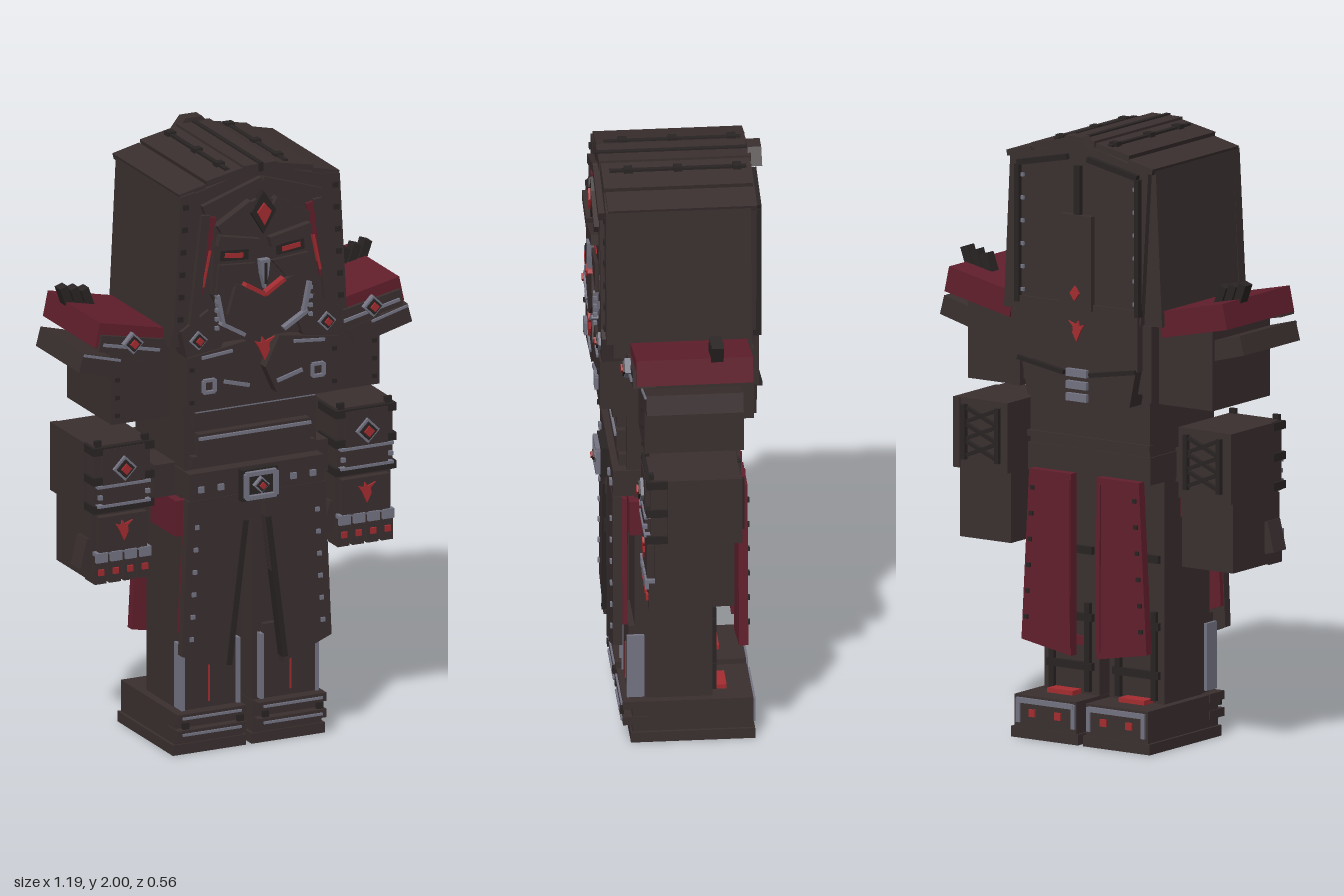
import * as THREE from 'three';

const paint = (name, hex) => {
  const m = new THREE.MeshStandardMaterial({ color: hex });
  m.name = name;
  return m;
};

export function createModel() {
  const root = new THREE.Group();
  root.name = 'armouredFigure';
  const iron = paint('dark iron', 0x3a2f2f), black = paint('black iron', 0x2a2424),
    crimson = paint('crimson cloth', 0x611f2c), red = paint('bright red', 0xa42c30), steel = paint('steel trim', 0x747483);

  const add = (name, geo, mat) => {
    const m = new THREE.Mesh(geo, mat);
    m.name = name;
    root.add(m);
    return m;
  };
  // box from x, y and z ranges
  const block = (name, mat, [x0, x1], [y0, y1], [z0, z1]) => {
    const m = add(name, new THREE.BoxGeometry(Math.abs(x1 - x0), y1 - y0, z1 - z0), mat);
    m.position.set((x0 + x1) / 2, (y0 + y1) / 2, (z0 + z1) / 2);
    return m;
  };
  // polygon in x, y extruded between two depths
  const plate = (name, mat, pts, z0, z1) => {
    const shape = new THREE.Shape(pts.map(p => new THREE.Vector2(p[0], p[1])));
    const m = add(name, new THREE.ExtrudeGeometry(shape, { depth: z1 - z0, bevelEnabled: false }), mat);
    m.position.z = z0;
    return m;
  };
  // straight strip from a to b in the x, y plane
  const strip = (name, mat, a, b, w, z0, z1) => {
    const dx = b[0] - a[0], dy = b[1] - a[1];
    const m = add(name, new THREE.BoxGeometry(Math.hypot(dx, dy), w, z1 - z0), mat);
    m.position.set((a[0] + b[0]) / 2, (a[1] + b[1]) / 2, (z0 + z1) / 2);
    m.rotation.z = Math.atan2(dy, dx);
    return m;
  };
  const stud = (x, y, z, mat = steel, r = 0.007) => block('stud', mat, [x - r, x + r], [y - r, y + r], [z - 0.006, z + 0.006]);
  const diamond = (x, y, z, r) => {
    for (const [mat, k, d] of [[steel, r, 0], [black, r * 0.75, 0.006], [red, r * 0.45, 0.012]])
      plate('diamondEmblem', mat, [[x, y - k], [x + k, y], [x, y + k], [x - k, y]], z - 0.02, z + d);
  };
  const frame = (x, y, z, w, h, t) => {
    for (const k of [-1, 1]) {
      block('frameSide', steel, [x + k * w - t / 2, x + k * w + t / 2], [y - h, y + h], [z - 0.02, z]);
      block('frameRail', steel, [x - w, x + w], [y + k * h - t / 2, y + k * h + t / 2], [z - 0.02, z]);
    }
  };
  const flame = (x, y, z, s, d = 0.006) => plate('flameEmblem', red, [[0, -1], [0.45, -0.2], [0.4, 0.4], [0.9, 0.9], [0.1, 0.6],
    [-0.2, 1], [-0.3, 0.5], [-0.9, 0.7], [-0.5, 0.1]].map(([a, b]) => [x + a * s, y + b * s]), z, z + d);

  // hood shell with stepped crown
  const dome = [[-0.31, 1.4], [0.31, 1.4], [0.285, 1.915], [0.19, 1.93], [0.06, 1.97], [-0.06, 1.97], [-0.19, 1.93], [-0.285, 1.915]];
  plate('hood', iron, dome, -0.23, 0.215);
  plate('hoodCore', iron, [[-0.24, 1.4], [0.24, 1.4], [0.27, 1.905], [0.1, 1.95], [0, 1.97], [-0.1, 1.95], [-0.27, 1.905]], -0.25, 0.235);
  block('crownRidge', iron, [-0.06, 0.06], [1.95, 1.985], [-0.25, 0.24]);
  block('crownSeam', black, [-0.008, 0.008], [1.96, 1.99], [-0.255, 0.245]);
  plate('backCrest', iron, [[-0.07, 1.95], [0.07, 1.95], [0.03, 2], [-0.03, 2]], -0.285, -0.24);

  // torso, waist and hips
  block('chest', iron, [-0.27, 0.27], [1.17, 1.42], [-0.22, 0.215]);
  block('waist', iron, [-0.235, 0.235], [0.87, 1.18], [-0.19, 0.165]);
  for (const [y, w] of [[1.145, 0.215], [1.05, 0.2]]) {
    block('waistPlate', iron, [-w, w], [y - 0.04, y + 0.035], [0.1, 0.195]);
    block('waistTrim', steel, [-w, w], [y + 0.016, y + 0.026], [0.15, 0.203]);
  }
  block('lowerWaistPlate', iron, [-0.22, 0.22], [0.97, 1.01], [0.1, 0.19]);
  block('belt', iron, [-0.24, 0.24], [0.87, 0.96], [-0.195, 0.21]);
  block('hipSash', iron, [-0.31, 0.31], [0.86, 0.97], [-0.05, 0.1]);
  block('buckle', black, [-0.065, 0.065], [0.85, 0.955], [0.18, 0.235]);
  frame(0, 0.903, 0.25, 0.053, 0.04, 0.014);
  diamond(0, 0.903, 0.25, 0.028);
  plate('loinGuard', iron, [[-0.04, 0.87], [0.04, 0.87], [0.035, 0.77], [-0.035, 0.77]], 0.1, 0.17);

  // mask
  plate('mask', iron, [[-0.17, 1.8], [-0.18, 1.57], [-0.12, 1.44], [0, 1.39], [0.12, 1.44], [0.18, 1.57], [0.17, 1.8], [0, 1.88]], 0.2, 0.25);
  plate('mouthGuard', iron, [[-0.1, 1.6], [0, 1.56], [0.1, 1.6], [0.13, 1.5], [0, 1.41], [-0.13, 1.5]].reverse(), 0.22, 0.268);
  plate('noseBridge', steel, [[0, 1.57], [0.012, 1.62], [0.018, 1.67], [-0.018, 1.67], [-0.012, 1.62]], 0.24, 0.275);
  block('noseSlot', black, [-0.004, 0.004], [1.59, 1.66], [0.26, 0.279]);
  plate('browJewelMount', black, [[0, 1.755], [0.045, 1.83], [0, 1.9], [-0.045, 1.83]], 0.22, 0.262);
  plate('browJewel', red, [[0, 1.785], [0.025, 1.83], [0, 1.86], [-0.025, 1.83]], 0.24, 0.27);
  flame(0, 1.37, 0.262, 0.04, 0.008);

  // back of hood and torso
  block('backTab', iron, [-0.06, 0.06], [1.43, 1.74], [-0.272, -0.24]);
  block('backTabSpine', black, [-0.012, 0.012], [1.7, 1.9], [-0.266, -0.24]);
  diamond(0, 1.48, -0.258, 0.012);
  plate('backJewel', red, [[0, 1.46], [0.018, 1.485], [0, 1.51], [-0.018, 1.485]], -0.28, -0.27);
  flame(0, 1.36, -0.268, 0.035);
  block('backApron', iron, [-0.235, 0.235], [1.25, 1.45], [-0.26, -0.2]);
  plate('lowerBackPlate', iron, [[-0.2, 1.13], [0, 1.1], [0.2, 1.13], [0.23, 1.28], [-0.23, 1.28]], -0.255, -0.18);
  for (const y of [1.13, 1.17, 1.21]) block('backRib', steel, [-0.04, 0.04], [y, y + 0.025], [-0.27, -0.24]);
  block('backBelt', iron, [-0.24, 0.24], [0.98, 1.0], [-0.2, -0.18]);

  for (const s of [1, -1]) {
    const P = pts => pts.map(([x, y]) => [s * x, y]);
    const B = (n, m, x, y, z) => block(n, m, [s * x[0], s * x[1]], y, z);
    const L = (n, m, a, b, w, z0, z1) => strip(n, m, [s * a[0], a[1]], [s * b[0], b[1]], w, z0, z1);

    // hood roof strips, rails and clamps
    L('roofSlat', iron, [0.06, 1.968], [0.19, 1.942], 0.02, -0.245, 0.235);
    L('roofEdge', iron, [0.19, 1.93], [0.285, 1.908], 0.02, -0.25, 0.23);
    B('roofRail', black, [0.097, 0.113], [1.955, 1.975], [-0.23, 0.21]);
    for (const z of [-0.2, -0.01, 0.15]) B('railClamp', black, [0.09, 0.12], [1.955, 1.981], [z - 0.014, z + 0.014]);

    // hood front rim and lining
    plate('hoodRim', iron, P([[0.31, 1.45], [0.285, 1.91], [0.235, 1.92], [0.245, 1.6], [0.265, 1.45]]), 0.2, 0.237);
    L('hoodInnerRim', iron, [0.245, 1.46], [0.2, 1.84], 0.03, 0.22, 0.25);
    L('hoodLining', crimson, [0.225, 1.58], [0.175, 1.83], 0.03, 0.22, 0.246);
    L('liningEdge', red, [0.21, 1.6], [0.185, 1.72], 0.008, 0.23, 0.25);
    L('hoodBrow', iron, [0, 1.93], [0.21, 1.86], 0.03, 0.2, 0.255);
    for (let i = 0; i < 6; i++) stud(s * (0.288 - i * 0.004), 1.5 + i * 0.075, 0.238, black, 0.009);

    // mask features
    L('crownBar', iron, [0.04, 1.86], [0.16, 1.79], 0.03, 0.22, 0.265);
    L('brow', iron, [0.02, 1.725], [0.165, 1.755], 0.035, 0.22, 0.275);
    L('eye', red, [0.07, 1.69], [0.135, 1.698], 0.016, 0.24, 0.256);
    L('eyeSocket', black, [0.05, 1.69], [0.15, 1.697], 0.035, 0.24, 0.253);
    plate('cheekPlate', iron, P([[0.03, 1.66], [0.16, 1.67], [0.17, 1.57], [0.08, 1.6]]), 0.22, 0.262);
    L('chevron', red, [0, 1.552], [0.07, 1.595], 0.013, 0.25, 0.277);
    L('jawTrim', steel, [0.165, 1.57], [0.145, 1.47], 0.012, 0.24, 0.268);
    L('chinTrim', steel, [0.155, 1.475], [0.07, 1.425], 0.012, 0.24, 0.272);
    for (let i = 0; i < 4; i++) stud(s * 0.168, 1.46 + i * 0.03, 0.262, steel, 0.006);

    // breastplates
    plate('collar', iron, P([[0.12, 1.46], [0.19, 1.52], [0.29, 1.46], [0.27, 1.37], [0.15, 1.38]]), 0.18, 0.25);
    diamond(s * 0.23, 1.425, 0.258, 0.032);
    plate('breastPlate', iron, P([[0.01, 1.3], [0.06, 1.4], [0.27, 1.37], [0.27, 1.2], [0.05, 1.21]]), 0.2, 0.255);
    L('breastTrim', steel, [0.05, 1.25], [0.14, 1.275], 0.012, 0.24, 0.262);
    L('upperTrim', steel, [0.11, 1.375], [0.22, 1.365], 0.01, 0.24, 0.262);
    frame(s * 0.195, 1.268, 0.267, 0.02, 0.02, 0.01);
    for (const y of [1.22, 1.33]) stud(s * 0.255, y, 0.257, black);

    // back of hood trim
    L('backHoodEdge', black, [0.235, 1.43], [0.235, 1.88], 0.016, -0.268, -0.24);
    L('backHoodTop', black, [0.235, 1.885], [0.04, 1.925], 0.018, -0.268, -0.24);
    for (let i = 0; i < 6; i++) stud(s * 0.22, 1.47 + i * 0.075, -0.252, steel, 0.006);
    L('backLowerTrim', black, [0.23, 1.25], [0.05, 1.22], 0.014, -0.272, -0.24);
    B('backSideTrim', iron, [0.24, 0.275], [1.15, 1.4], [-0.24, -0.2]);

    // upper arm and raised shoulder guard
    B('upperArm', iron, [0.27, 0.48], [1.14, 1.4], [-0.19, 0.13]);
    for (const y of [1.17, 1.23, 1.29]) stud(s * 0.46, y, 0.131, black);
    L('shoulderPad', crimson, [0.29, 1.405], [0.545, 1.46], 0.085, -0.215, 0.16);
    L('shoulderFace', iron, [0.29, 1.385], [0.54, 1.435], 0.055, 0.1, 0.172);
    L('shoulderTrim', steel, [0.33, 1.385], [0.53, 1.43], 0.01, 0.15, 0.179);
    diamond(s * 0.43, 1.425, 0.19, 0.036);
    L('shoulderLowerPlate', iron, [0.38, 1.31], [0.588, 1.365], 0.065, -0.18, 0.132);
    L('lowerPlateTrim', steel, [0.45, 1.355], [0.58, 1.39], 0.008, 0.1, 0.138);
    for (let i = 0; i < 3; i++) {
      const x = 0.44 + i * 0.038, y = 1.45 + i * 0.008;
      L('shoulderSpike', black, [x, y], [x + 0.03, y + 0.085], 0.028, -0.12, -0.08);
    }

    // gauntlet and fist
    B('gauntlet', iron, [0.335, 0.535], [0.84, 1.07], [-0.175, 0.115]);
    B('gauntletSidePanel', iron, [0.52, 0.545], [0.84, 1.07], [-0.18, 0.06]);
    B('gauntletFront', iron, [0.36, 0.51], [0.87, 1.06], [0.1, 0.13]);
    for (const y of [0.845, 0.94, 1.04]) B('gauntletBand', black, [0.325, 0.543], [y, y + 0.026], [0, 0.128]);
    for (const y of [0.865, 0.93]) B('gauntletTrim', steel, [0.34, 0.53], [y, y + 0.009], [0.1, 0.135]);
    diamond(s * 0.435, 0.99, 0.14, 0.042);
    for (const x of [0.35, 0.52]) {
      stud(s * x, 1.075, 0.11, black, 0.012);
      stud(s * x, 0.9, 0.13);
      L('lacingRail', black, [x > 0.4 ? 0.5 : 0.37, 0.87], [x > 0.4 ? 0.5 : 0.37, 1.05], 0.016, -0.19, -0.16);
    }
    for (let i = 0; i < 3; i++) for (const k of [-1, 1])
      L('lacing', black, [0.435 - k * 0.055, 0.885 + i * 0.055], [0.435 + k * 0.055, 0.93 + i * 0.055], 0.012, -0.187, -0.165);
    B('fist', iron, [0.335, 0.535], [0.61, 0.84], [-0.155, 0.1]);
    B('handPlate', iron, [0.35, 0.52], [0.71, 0.83], [0.08, 0.125]);
    flame(s * 0.435, 0.78, 0.126, 0.035);
    for (let i = 0; i < 4; i++) {
      const x = 0.357 + i * 0.052;
      B('finger', iron, [x - 0.021, x + 0.021], [0.605, 0.7], [0.05, 0.12]);
      B('knuckle', steel, [x - 0.02, x + 0.02], [0.68, 0.712], [0.09, 0.132]);
      stud(s * x, 0.645, 0.122, red, 0.01);
    }
    const hand = s * 0.435;
    strip('thumb', iron, [hand - 0.12, 0.65], [hand - 0.095, 0.75], 0.035, 0.02, 0.09);

    // legs
    B('leg', iron, [0.02, 0.235], [0.12, 0.88], [-0.11, 0.14]);
    B('hipCloth', crimson, [0.22, 0.265], [0.74, 0.86], [-0.02, 0.16]);
    B('shinPlate', iron, [0.05, 0.235], [0.15, 0.4], [0.12, 0.16]);
    for (const x of [0.042, 0.24]) L('shinTrim', steel, [x, 0.15], [x, 0.37], 0.012, 0.11, 0.166);
    B('shinLine', red, [0.143, 0.149], [0.17, 0.3], [0.14, 0.164]);
    for (const x of [0.06, 0.2]) B('calfRail', black, [x - 0.01, x + 0.01], [0.15, 0.44], [-0.125, -0.1]);
    for (const y of [0.22, 0.38, 0.6]) B('calfStrap', black, [0.04, 0.22], [y, y + 0.025], [-0.125, -0.1]);
    B('calfStrapRed', crimson, [0.07, 0.19], [0.3, 0.33], [-0.12, -0.1]);

    // boots
    B('sole', iron, [0.01, 0.272], [0, 0.035], [-0.245, 0.155]);
    B('boot', iron, [0.018, 0.262], [0.03, 0.14], [-0.24, 0.15]);
    for (const y of [0.06, 0.115]) {
      B('bootBand', iron, [0.022, 0.266], [y, y + 0.028], [0.1, 0.18]);
      B('bootTrim', steel, [0.04, 0.25], [y + 0.01, y + 0.018], [0.1, 0.186]);
    }
    for (const x of [0.045, 0.24]) stud(s * x, 0.105, 0.182, black, 0.011);
    B('heelTrim', steel, [0.03, 0.25], [0.115, 0.132], [-0.248, -0.2]);
    for (const x of [0.09, 0.19]) stud(s * x, 0.085, -0.242, red, 0.012);
    for (const x of [0.03, 0.245]) B('heelCorner', steel, [x - 0.007, x + 0.007], [0.05, 0.13], [-0.247, -0.2]);
    B('heelStrap', red, [0.09, 0.19], [0.14, 0.155], [-0.16, -0.1]);

    // front skirt panel with lining
    const skirt = P([[0.03, 0.87], [0.245, 0.87], [0.268, 0.35], [0.095, 0.28], [0.03, 0.78]]);
    plate('frontSkirt', iron, skirt, 0.182, 0.212);
    plate('frontSkirtLining', crimson, P([[0.04, 0.86], [0.24, 0.86], [0.262, 0.42], [0.1, 0.36]]), 0.165, 0.182);
    L('skirtInnerEdge', black, [0.04, 0.78], [0.1, 0.3], 0.018, 0.18, 0.218);
    for (let i = 0; i < 6; i++) stud(s * (0.215 + i * 0.004), 0.78 - i * 0.075, 0.213);
    for (const x of [0.13, 0.2]) stud(s * x, 0.905, 0.213, steel, 0.01);

    // rear skirt panel
    plate('rearSkirt', crimson, P([[0.05, 0.88], [0.215, 0.88], [0.245, 0.32], [0.05, 0.285]]), -0.225, -0.195);
    L('rearSkirtEdge', crimson, [0.06, 0.86], [0.058, 0.31], 0.014, -0.231, -0.2);
    for (let i = 0; i < 6; i++) stud(s * (0.2 + i * 0.005), 0.82 - i * 0.085, -0.226, black);
  }
  return root;
}
